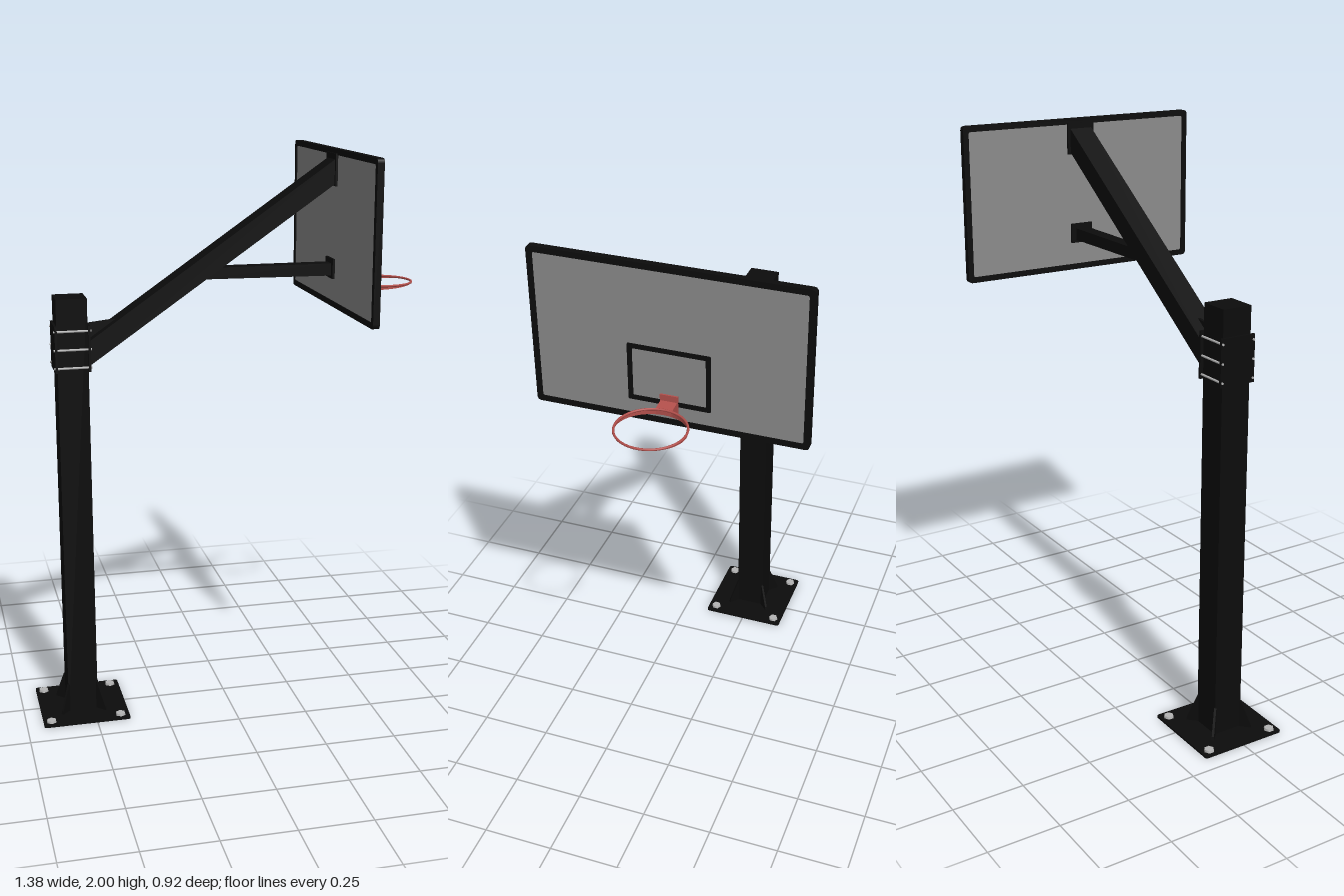
import * as THREE from 'three';

const mat = (name, color, side = THREE.FrontSide) => {
  const m = new THREE.MeshStandardMaterial({ color, side });
  m.name = name;
  return m;
};

export function createModel() {
  const black = mat('black steel', 0x0c0c0c);
  const grey = mat('panel grey', 0x8c8c8c);
  const zinc = mat('zinc bolts', 0xb4b4b4);
  const red = mat('rim red', 0xb4504c, THREE.DoubleSide);

  const model = new THREE.Group();
  model.name = 'basketballHoop';
  const add = (name, geo, material, x = 0, y = 0, z = 0) => {
    const mesh = new THREE.Mesh(geo, material);
    mesh.name = name;
    mesh.position.set(x, y, z);
    model.add(mesh);
    return mesh;
  };
  const box = (name, w, h, d, material, x, y, z) =>
    add(name, new THREE.BoxGeometry(w, h, d), material, x, y, z);
  // Side profile in x/y, extruded symmetrically about z = 0
  const slab = (points, width) =>
    new THREE.ExtrudeGeometry(new THREE.Shape(points.map(p => new THREE.Vector2(...p))),
      { depth: width, bevelEnabled: false }).translate(0, 0, -width / 2);
  const roundRect = (Type, w, h, r) => {
    const s = new Type(), a = w / 2, b = h / 2;
    s.moveTo(-a + r, -b).lineTo(a - r, -b).quadraticCurveTo(a, -b, a, -b + r);
    s.lineTo(a, b - r).quadraticCurveTo(a, b, a - r, b);
    s.lineTo(-a + r, b).quadraticCurveTo(-a, b, -a, b - r);
    s.lineTo(-a, -b + r).quadraticCurveTo(-a, -b, -a + r, -b);
    return s;
  };
  // Upright rectangular frame facing +x
  const frame = (w, h, border, depth, r) => {
    const s = roundRect(THREE.Shape, w, h, r);
    s.holes.push(roundRect(THREE.Path, w - 2 * border, h - 2 * border, r / 2));
    return new THREE.ExtrudeGeometry(s, { depth, bevelEnabled: false, curveSegments: 5 })
      .translate(0, 0, -depth / 2).rotateY(Math.PI / 2);
  };

  // Base plate, post, bolts and corner gussets
  const px = -0.537;
  const plate = new THREE.ExtrudeGeometry(roundRect(THREE.Shape, 0.31, 0.314, 0.01),
    { depth: 0.007, bevelEnabled: false }).rotateX(-Math.PI / 2);
  add('basePlate', plate, black, px + 0.002, 0, 0);
  box('post', 0.106, 1.517, 0.106, black, px, 0.7635, 0);
  for (const sx of [-1, 1]) for (const sz of [-1, 1]) {
    add('anchorBolt', new THREE.CylinderGeometry(0.017, 0.019, 0.008, 6), zinc,
      px + sx * 0.125, 0.011, sz * 0.126);
    const gusset = add('baseGusset',
      slab([[0.06, 0.005], [0.115, 0.005], [0.112, 0.02], [0.075, 0.11], [0.06, 0.11]], 0.008),
      black, px, 0, 0);
    gusset.rotation.y = -Math.atan2(sz, sx);
  }

  // Clamp plates either side of the post, joined by threaded rods
  for (const s of [-1, 1]) {
    box('clampPlate', 0.008, 0.16, 0.13, black, px + s * 0.057, 1.35, 0);
    for (const y of [1.285, 1.348, 1.412]) {
      const rod = add('clampRod', new THREE.CylinderGeometry(0.004, 0.004, 0.13, 8), zinc, px, y, s * 0.059);
      rod.rotation.z = Math.PI / 2;
    }
  }

  // Sloping arm, its upper stiffener and the level brace
  add('mainArm', slab([[-0.48, 1.285], [0.392, 1.885], [0.392, 1.97], [-0.48, 1.37]], 0.085), black);
  add('armStiffener', slab([[-0.48, 1.36], [-0.37, 1.44], [-0.48, 1.428]], 0.01), black);
  add('levelBrace', slab([[-0.1, 1.566], [0.392, 1.562], [0.392, 1.605], [-0.04, 1.605]], 0.05), black);
  box('upperFlange', 0.008, 0.11, 0.105, black, 0.389, 1.93, 0);
  box('lowerFlange', 0.008, 0.07, 0.085, black, 0.389, 1.587, 0);

  // Backboard: panel, surrounding frame and painted target
  const bx = 0.402, by = 1.726;
  box('backboardPanel', 0.016, 0.53, 0.895, grey, bx, by, 0);
  add('backboardFrame', frame(0.916, 0.548, 0.02, 0.023, 0.015), black, bx, by, 0);
  add('targetRectangle', frame(0.275, 0.2, 0.016, 0.004, 0.006), black, bx + 0.009, 1.621, 0);

  // Rim mounting bracket
  box('rimMount', 0.006, 0.075, 0.06, red, 0.414, 1.522, 0);
  add('rimBracket', slab([[0.412, 1.503], [0.462, 1.515], [0.462, 1.534], [0.412, 1.539]], 0.055), red);

  // Hoop, with a stiffening band that is deepest next to the board
  const rx = 0.573, ry = 1.532, radius = 0.114;
  add('hoop', new THREE.TorusGeometry(radius, 0.004, 8, 56).rotateX(Math.PI / 2), red, rx, ry, 0);
  const band = new THREE.CylinderGeometry(radius, radius, 0.02, 56, 1, true);
  const p = band.attributes.position;
  for (let i = 0; i < p.count; i++) {
    const near = (1 - p.getX(i) / radius) / 2;
    p.setY(i, p.getY(i) > 0 ? 0 : -0.003 - 0.016 * near);
  }
  band.computeVertexNormals();
  add('hoopBand', band, red, rx, ry, 0);

  return model;
}
